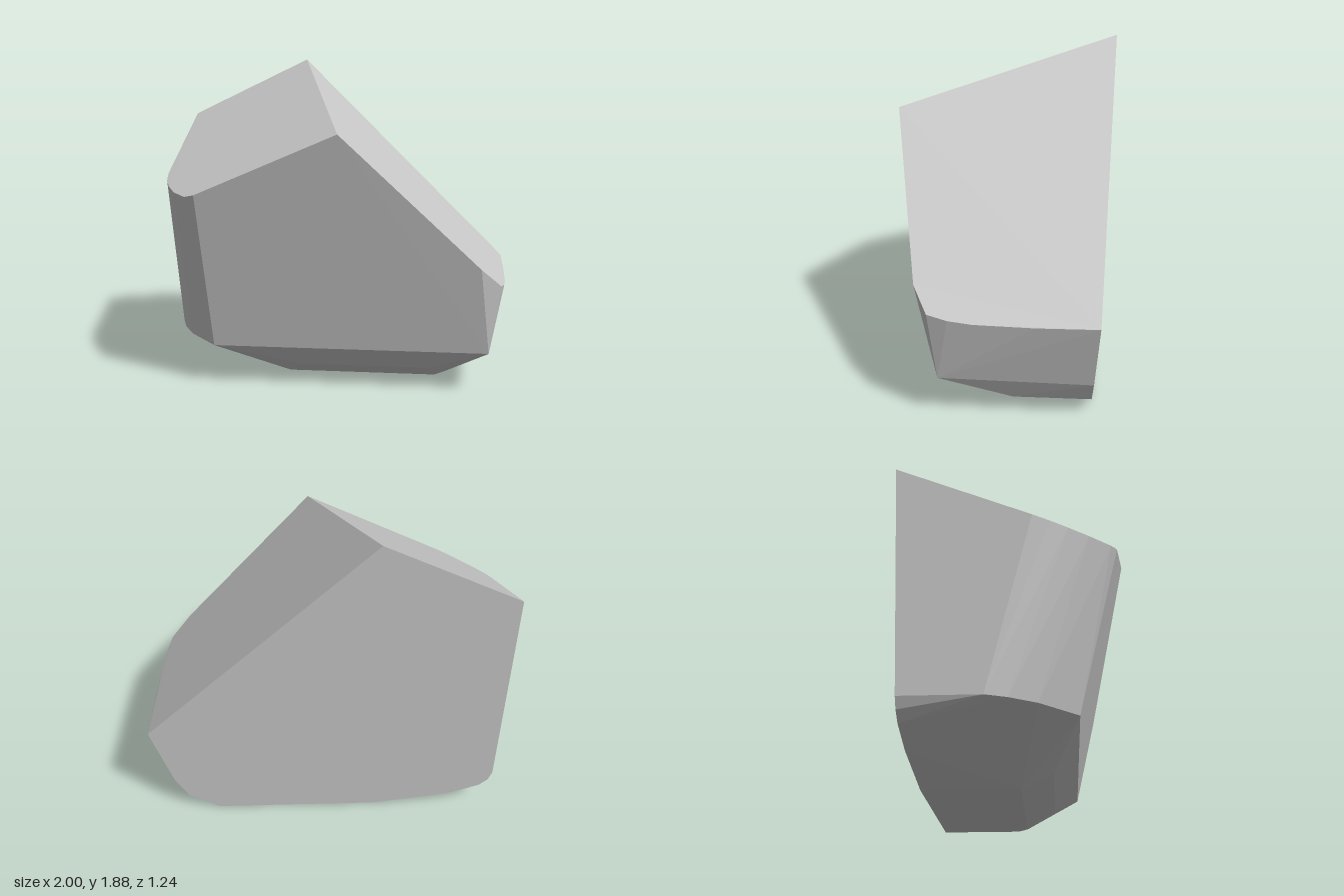
import * as THREE from 'three';
import { ConvexGeometry } from 'three/addons/geometries/ConvexGeometry.js';

// Main cut planes of the boulder
const backZ = (x, y) => -0.512 - 0.0552 * y + 0.0155 * x;
const frontZ = (y) => 0.32 + 0.238 * (y - 0.25);
const leftTopY = (x, z) => 1.88 + 0.477 * (x + 0.27) - 0.422 * (z + 0.62);
const rightTopY = (x, z) => 1.88 - 0.98 * (x + 0.27) - 0.0434 * (z + 0.62);

export function createModel() {
  const group = new THREE.Group();
  const stone = new THREE.MeshStandardMaterial({ color: 0xc8c8c8 });
  stone.name = 'greyStone';

  const points = [];
  const add = (x, y, z) => points.push(new THREE.Vector3(x, y, z));

  // Ridge: back peak and front peak
  add(-0.27, 1.88, backZ(-0.27, 1.88));
  add(0.05, 1.51, frontZ(1.51));

  // Rim of the upper left face, with its rounded front corner
  add(-1, 1.53, backZ(-1, 1.53));
  for (const [x, z] of [[-1, 0.1], [-0.985, 0.19], [-0.95, 0.28], [-0.89, 0.39], [-0.8, 0.505], [-0.74, 0.538]]) {
    add(x, leftTopY(x, z), z);
  }

  // Rim of the long right slope
  add(1, 0.635, backZ(1, 0.635));
  for (const [x, z] of [[0.99, -0.2], [0.975, 0.12], [0.96, 0.25], [0.935, 0.36], [0.82, 0.44]]) {
    add(x, rightTopY(x, z), z);
  }

  // Foot of the walls, with the rounded left corner
  for (const [x, z] of [[0.88, 0.32], [-0.7, 0.32], [-0.88, 0.12], [-0.96, -0.02], [-1, -0.13]]) {
    add(x, 0.25, z);
  }

  // Lower outline of the flat back
  for (const [x, y] of [[-1, 0.25], [-0.98, 0.19], [-0.93, 0.14], [-0.74, 0.07], [-0.3, 0], [0.64, 0], [0.81, 0.105], [0.885, 0.24]]) {
    add(x, y, backZ(x, y));
  }

  // Bevels around the front and right of the base
  add(-0.22, 0.105, 0.18);
  add(0.54, 0.105, 0.18);
  add(0.81, 0.105, -0.08);

  // Flat underside
  add(-0.3, 0, 0.01);
  add(0.58, 0, 0.01);
  add(0.64, 0, -0.05);

  const boulder = new THREE.Mesh(new ConvexGeometry(points), stone);
  boulder.name = 'boulder';
  group.add(boulder);
  return group;
}
